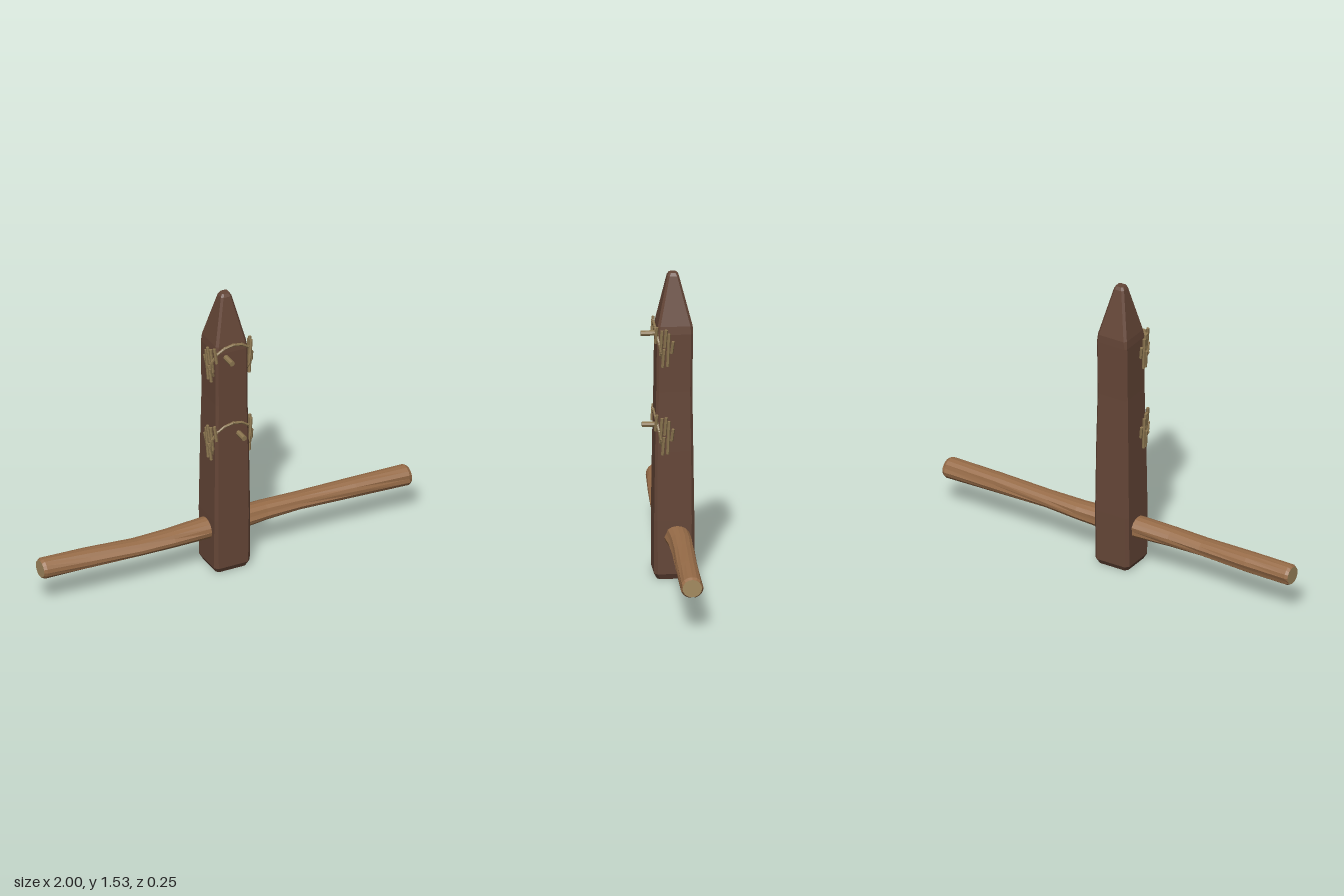
import * as THREE from 'three';

const V = (x, y, z) => new THREE.Vector3(x, y, z);

// Skin between cross-sections; group 0 is the side, group 1 the two end caps
function loft(rings) {
  const side = [], caps = [], n = rings[0].length;
  const tri = (list, ...pts) => pts.forEach(p => list.push(p.x, p.y, p.z));
  for (let i = 0; i < rings.length - 1; i++) {
    for (let j = 0; j < n; j++) {
      const k = (j + 1) % n, a = rings[i], b = rings[i + 1];
      tri(side, a[j], a[k], b[k]);
      tri(side, a[j], b[k], b[j]);
    }
  }
  const centre = r => r.reduce((s, p) => s.add(p), V(0, 0, 0)).divideScalar(n);
  const first = rings[0], last = rings[rings.length - 1];
  const c0 = centre(first), c1 = centre(last);
  for (let j = 0; j < n; j++) {
    const k = (j + 1) % n;
    tri(caps, c0, first[k], first[j]);
    tri(caps, c1, last[j], last[k]);
  }
  const g = new THREE.BufferGeometry();
  g.setAttribute('position', new THREE.Float32BufferAttribute(side.concat(caps), 3));
  g.addGroup(0, side.length / 3, 0);
  g.addGroup(side.length / 3, caps.length / 3, 1);
  g.computeVertexNormals();
  return g;
}

export function createModel() {
  const model = new THREE.Group();
  const material = (name, color) => {
    const m = new THREE.MeshStandardMaterial({ color });
    m.name = name;
    m.flatShading = true;
    return m;
  };
  const darkWood = material('dark wood', 0x654637);
  const bark = material('light bark', 0x976c48);
  const cutWood = material('cut wood', 0xa58b60);
  const rope = material('rope', 0x8c7650);
  const add = (parent, name, geometry, mat) => {
    const m = new THREE.Mesh(geometry, mat);
    m.name = name;
    parent.add(m);
    return m;
  };

  // Squared post with chamfered corners, tapering to a blunt point
  // Each level: y, xMin, xMax, zMin, zMax, chamfer
  const levels = [
    [0, -0.085, 0.082, -0.106, 0.06, 0.014],
    [0.028, -0.1, 0.096, -0.123, 0.075, 0.018],
    [0.3, -0.099, 0.096, -0.122, 0.075, 0.014],
    [0.65, -0.094, 0.092, -0.117, 0.07, 0.012],
    [0.95, -0.088, 0.086, -0.113, 0.064, 0.012],
    [1.24, -0.088, 0.086, -0.116, 0.06, 0.01],
    [1.28, -0.084, 0.082, -0.115, 0.056, 0.012],
    [1.52, -0.03, 0.028, -0.053, 0.004, 0.01],
    [1.535, -0.021, 0.02, -0.044, -0.005, 0.008],
  ];
  add(model, 'post', loft(levels.map(([y, x0, x1, z0, z1, c]) => [
    V(x1, y, z1 - c), V(x1, y, z0 + c), V(x1 - c, y, z0), V(x0 + c, y, z0),
    V(x0, y, z0 + c), V(x0, y, z1 - c), V(x0 + c, y, z1), V(x1 - c, y, z1),
  ])), [darkWood, darkWood]);

  // Crooked branch through the post: x, centre y, centre z, radius y, radius z
  const stations = [
    [-1, 0.22, -0.04, 0.044, 0.046],
    [-0.985, 0.221, -0.04, 0.053, 0.054],
    [-0.75, 0.218, -0.032, 0.05, 0.06],
    [-0.48, 0.215, -0.019, 0.041, 0.06],
    [-0.3, 0.216, -0.018, 0.046, 0.06],
    [-0.1, 0.217, -0.026, 0.054, 0.062],
    [0.08, 0.218, -0.036, 0.054, 0.064],
    [0.22, 0.222, -0.042, 0.047, 0.06],
    [0.4, 0.226, -0.038, 0.041, 0.056],
    [0.7, 0.224, -0.03, 0.048, 0.056],
    [0.985, 0.22, -0.024, 0.053, 0.057],
    [1, 0.219, -0.024, 0.044, 0.048],
  ];
  const sides = 16, cracks = [3, 7, 12];
  add(model, 'branch', loft(stations.map(([x, cy, cz, ry, rz], i) =>
    Array.from({ length: sides }, (_, j) => {
      const a = j / sides * Math.PI * 2 + x * 0.35;
      const end = i === 0 || i === stations.length - 1;
      const r = cracks.includes(j) && !end && (i + j) % 4 ? 0.9 : 1;
      return V(x, cy + Math.cos(a) * ry * r, cz + Math.sin(a) * rz * r);
    }))), [bark, cutWood]);

  // Rope made of short straight strands
  function strand(parent, a, b, radius = 0.008) {
    const d = b.clone().sub(a);
    const m = add(parent, 'ropeStrand',
      new THREE.CylinderGeometry(radius, radius, d.length() + 0.012, 6), rope);
    m.position.copy(a).add(b).multiplyScalar(0.5);
    m.quaternion.setFromUnitVectors(V(0, 1, 0), d.normalize());
  }

  // Arched tie hanging on a peg, with loose strands down both sides
  function tie(name, cy, pegX, pegY) {
    const g = new THREE.Group();
    g.name = name;
    const at = deg => {
      const a = deg * Math.PI / 180, s = Math.sin(a);
      return V(Math.cos(a) * 0.113, cy + s * 0.105, 0.048 + 0.022 * s);
    };
    for (let i = 0; i < 10; i++) strand(g, at(-35 + i * 25), at(-10 + i * 25), 0.007);
    for (const s of [-1, 1]) {
      // Each strand: x, z, lower y, upper y
      [[0.1, 0.066, 0.03, 0.1], [0.108, 0.042, -0.03, 0.085],
        [0.115, 0.022, 0.01, 0.09], [0.112, 0.032, -0.09, -0.01],
        [0.116, 0.008, -0.085, 0.07], [0.113, -0.012, -0.02, 0.03]]
        .forEach(([x, z, lo, hi]) =>
          strand(g, V(s * (x - 0.008), cy + lo, z + 0.003), V(s * x, cy + hi, z - 0.003)));
    }
    const peg = add(g, 'peg', new THREE.CylinderGeometry(0.014, 0.014, 0.08, 8), rope);
    peg.rotation.x = Math.PI / 2;
    peg.position.set(pegX, pegY, 0.09);
    model.add(g);
  }
  tie('upperTie', 1.178, -0.036, 1.217);
  tie('lowerTie', 0.733, 0.03, 0.773);

  return model;
}
